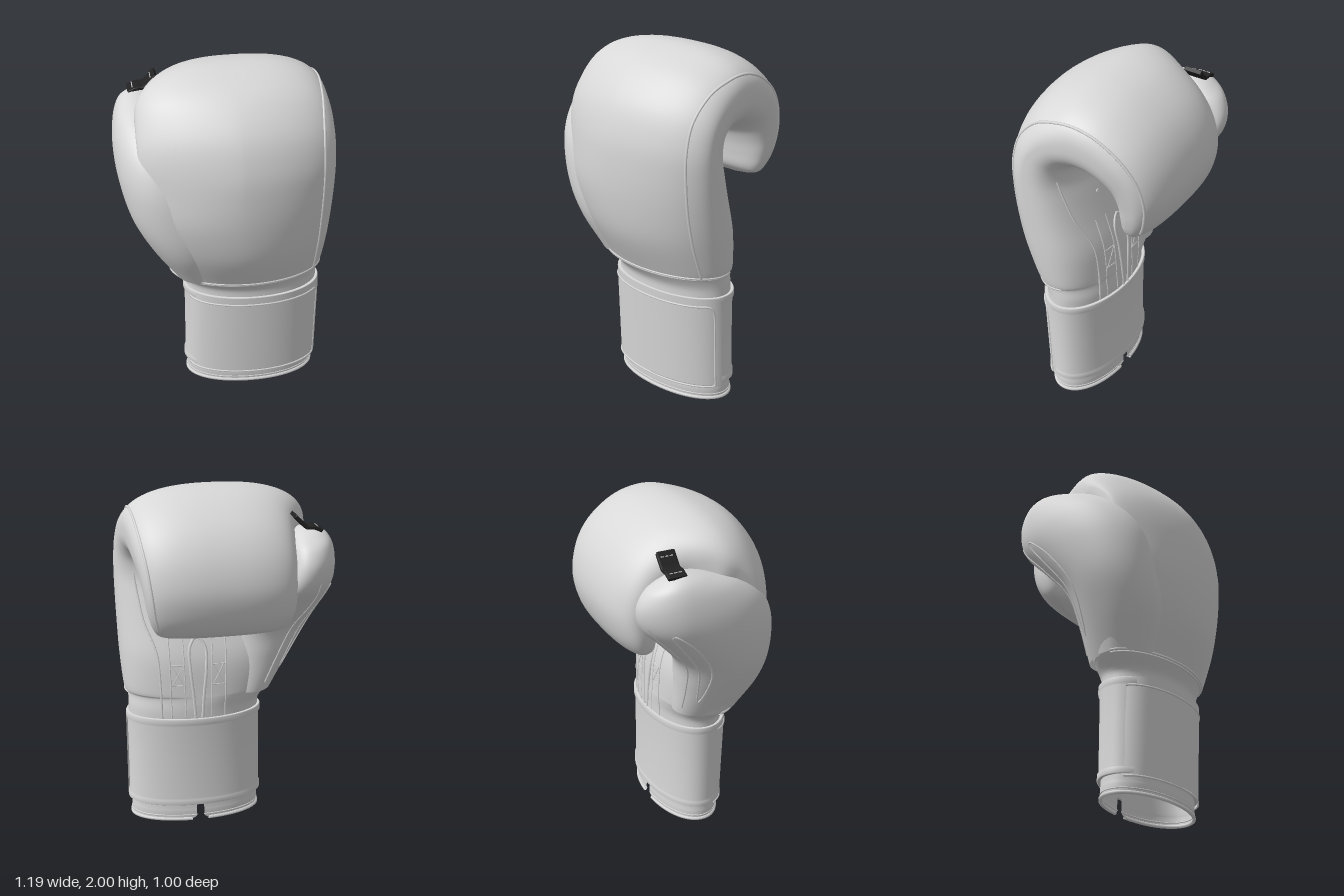
import * as THREE from 'three';

const V = (x, y, z) => new THREE.Vector3(x, y, z);
const spow = (v, e) => Math.sign(v) * Math.pow(Math.abs(v), e);
const step = THREE.MathUtils.smoothstep;

// Surface through stations [outerZ, outerY, innerZ, innerY, xMin, xMax]; each ring is a superellipse
// whose roundness may depend on the position along the part and the angle around it.
function makeSection(stations, roundness) {
  const curve = (a, b) => new THREE.CatmullRomCurve3(stations.map(s => V(s[a], s[b], 0)), false, 'catmullrom', 0.5);
  const outer = curve(0, 1), inner = curve(2, 3), width = curve(4, 5);
  const section = (v, a) => {
    const o = outer.getPoint(v), i = inner.getPoint(v), w = width.getPoint(v), e = roundness(v, a);
    const k = 0.5 + 0.5 * spow(Math.sin(a), e);
    const x = (w.x + w.y) / 2 + (w.y - w.x) / 2 * spow(Math.cos(a), e);
    return V(x, i.y + (o.y - i.y) * k, i.x + (o.x - i.x) * k);
  };
  section.inner = inner;
  section.width = width;
  section.roundness = roundness;
  return section;
}

// Grid surface; closed wraps the ring so the shading has no seam.
function surface(fn, nv, nu, closed = true) {
  const pos = [], index = [], cols = closed ? nu : nu + 1;
  for (let v = 0; v <= nv; v++)
    for (let u = 0; u < cols; u++) pos.push(...fn(v / nv, u / nu).toArray());
  for (let v = 0; v < nv; v++)
    for (let u = 0; u < nu; u++) {
      const u2 = (u + 1) % cols;
      const i = v * cols + u, j = i + cols, k = v * cols + u2, l = k + cols;
      index.push(i, j, k, k, j, l);
    }
  const g = new THREE.BufferGeometry();
  g.setAttribute('position', new THREE.Float32BufferAttribute(pos, 3));
  g.setIndex(index);
  g.computeVertexNormals();
  return g;
}

export function createModel() {
  const glove = new THREE.Group();
  const leather = new THREE.MeshStandardMaterial({ color: 0xd8d8d8, side: THREE.DoubleSide });
  leather.name = 'light grey leather';
  const black = new THREE.MeshStandardMaterial({ color: 0x222222 });
  black.name = 'black webbing';
  const add = (name, geometry, material = leather) => {
    const m = new THREE.Mesh(geometry, material);
    m.name = name;
    glove.add(m);
    return m;
  };
  const piping = (name, pts, r = 0.006) =>
    add(name, new THREE.TubeGeometry(new THREE.CatmullRomCurve3(pts), pts.length * 4, r, 6));
  const sample = (n, fn) => Array.from({ length: n + 1 }, (_, i) => fn(i / n));

  // Padded hand: wrist, back of hand, knuckles and curled fingers
  const hand = makeSection([
    [0.30, 0.64, -0.12, 0.64, -0.22, 0.55],
    [0.305, 0.71, -0.12, 0.71, -0.23, 0.55],
    [0.345, 0.775, -0.118, 0.775, -0.30, 0.55],
    [0.365, 0.81, -0.115, 0.81, -0.32, 0.57],
    [0.45, 1.0, -0.10, 1.0, -0.40, 0.585],
    [0.49, 1.2, -0.05, 1.17, -0.45, 0.59],
    [0.50, 1.4, 0.0, 1.33, -0.465, 0.593],
    [0.485, 1.58, 0.035, 1.44, -0.475, 0.593],
    [0.42, 1.76, 0.035, 1.515, -0.48, 0.59],
    [0.28, 1.91, 0.01, 1.545, -0.48, 0.585],
    [0.12, 1.98, -0.02, 1.55, -0.475, 0.578],
    [-0.03, 2.0, -0.055, 1.55, -0.43, 0.57],
    [-0.20, 1.955, -0.09, 1.545, -0.37, 0.56],
    [-0.36, 1.84, -0.14, 1.525, -0.343, 0.545],
    [-0.46, 1.69, -0.18, 1.49, -0.335, 0.525],
    [-0.50, 1.52, -0.20, 1.43, -0.33, 0.505],
    [-0.475, 1.37, -0.21, 1.36, -0.325, 0.485],
    [-0.42, 1.27, -0.22, 1.29, -0.30, 0.455],
    [-0.36, 1.23, -0.25, 1.25, -0.25, 0.41],
    [-0.30, 1.22, -0.30, 1.22, -0.12, 0.28],
  ], (v, a) => {
    const s = v * 19;
    if (Math.sin(a) <= 0) return 1 - 0.27 * step(s, 1, 5);
    const thumbSide = Math.cos(a) < 0 ? 0.22 * step(s, 5, 7) * (1 - step(s, 8, 10.5)) : 0;
    return 1 + 0.07 * step(s, 2, 4) - 0.27 * step(s, 7.5, 11) + thumbSide;
  });
  const TAU = Math.PI * 2;
  add('paddedHand', surface((v, u) => hand(v, u * TAU), 95, 96));

  // Thumb, flowing out of the back of the hand and leaning towards the fingers
  const thumbSection = makeSection([
    [0.30, 0.78, -0.09, 0.78, -0.295, 0.0],
    [0.39, 1.0, -0.105, 1.0, -0.43, 0.0],
    [0.41, 1.2, -0.14, 1.17, -0.525, -0.02],
    [0.38, 1.42, -0.27, 1.33, -0.58, -0.12],
    [0.29, 1.58, -0.39, 1.46, -0.597, -0.22],
    [0.14, 1.69, -0.42, 1.58, -0.585, -0.29],
    [-0.03, 1.75, -0.38, 1.68, -0.555, -0.33],
    [-0.15, 1.775, -0.30, 1.74, -0.51, -0.38],
    [-0.22, 1.777, -0.24, 1.77, -0.45, -0.45],
  ], () => 0.95);
  const thumb = (v, a) => {
    const p = thumbSection(v, a);
    p.x += 0.9 * Math.max(0, -0.2 - p.z) ** 2; // the tip turns in towards the fingers
    return p;
  };
  add('thumb', surface((v, u) => thumb(v, u * TAU), 56, 56));

  // Welted seams on the hand and thumb
  piping('sideSeam', sample(60, t => {
    const v = (2.7 + t * 14) / 19;
    return hand(v, Math.asin(Math.pow(0.5, 1 / hand.roundness(v, 0.5))));
  }), 0.008);
  for (const v of [2.05, 2.7])
    piping('wristSeam', sample(40, t => hand(v / 19, -0.2 + t * 3.3)), 0.007);
  piping('thumbSeam', sample(20, t => thumb(0.03 + t * 0.5, -1.95)), 0.005);
  piping('thumbPatchSeam', sample(28, t =>
    thumb(0.28 + 0.21 * Math.cos(t * TAU), -2.4 + 0.15 * Math.sin(t * TAU))), 0.005);

  // Point on the palm at a given x and height
  const palm = (x, y) => {
    let lo = 0, hi = 8 / 19;
    for (let i = 0; i < 24; i++) {
      const mid = (lo + hi) / 2;
      if (hand.inner.getPoint(mid).y < y) lo = mid; else hi = mid;
    }
    const w = hand.width.getPoint(lo);
    const c = spow((x - (w.x + w.y) / 2) / ((w.y - w.x) / 2), 1 / hand.roundness(lo, -1));
    return hand(lo, -Math.acos(THREE.MathUtils.clamp(c, -1, 1)));
  };

  // Palm opening, reinforcing straps with crossed stitching, panel seam and vents
  const lace = 0.17;
  piping('palmOpening', [[-0.02, 0.66], [-0.03, 0.8], [-0.045, 0.95], [-0.045, 1.08], [0, 1.14],
    [0.045, 1.08], [0.045, 0.95], [0.03, 0.8], [0.02, 0.66]].map(([x, y]) => palm(lace + x, y)), 0.009);
  for (const side of [-1, 1]) {
    const at = (x, y) => palm(lace + side * x, y);
    for (const x of [0.075, 0.155])
      piping('palmStrapEdge', sample(10, t => at(x + t * 0.01, 0.66 + t * 0.52)), 0.004);
    for (const [a, b] of [[0.085, 0.15], [0.15, 0.085]])
      piping('crossStitch', sample(4, t => at(a + (b - a) * t, 0.86 + t * 0.12)), 0.003);
    for (const y of [0.86, 0.98])
      piping('boxStitch', sample(3, t => at(0.08 + t * 0.075, y)), 0.003);
  }
  piping('palmPanelSeam', [[0.38, 0.66], [0.385, 0.85], [0.4, 1.05], [0.46, 1.22], [0.485, 1.36], [0.5, 1.46]]
    .map(([x, y]) => palm(x, y)), 0.006);
  for (const x of [0.08, 0.17, 0.26]) {
    const vent = add('palmVent', new THREE.TorusGeometry(0.009, 0.004, 6, 12));
    vent.position.copy(palm(x, 1.32));
  }

  // Wrist cuff: an open oval tube with a slit at the back
  const ring = (y, off) => [0.262 + 0.05 * y + off, y, -0.115 - off, y, -0.215 - off, 0.545 + off];
  const round = () => 0.96;
  const cuff = makeSection([ring(0.012, 0), ring(0.06, 0.002), ring(0.12, 0), ring(0.4, 0), ring(0.68, 0)], round);
  const slit = v => 0.05 + 0.07 * Math.pow(Math.max(0, 1 - v * 8), 2);
  const around = (v, u) => -Math.PI / 2 + slit(v) + u * (TAU - 2 * slit(v));
  add('cuff', surface((v, u) => cuff(v, around(v, u)), 32, 96, false));
  piping('cuffRim', sample(60, t => cuff(0, around(0, t))), 0.011);
  piping('cuffHemStitch', sample(60, t => cuff(0.13, around(0.13, t))), 0.004);

  // Closure strap with raised edge bindings
  const strap = makeSection([
    ring(0.112, 0), ring(0.11, 0.016), ring(0.114, 0.021), ring(0.145, 0.021), ring(0.152, 0.013),
    ring(0.4, 0.012), ring(0.615, 0.013), ring(0.622, 0.021), ring(0.656, 0.021), ring(0.66, 0.016), ring(0.658, 0),
  ], round);
  add('wristStrap', surface((v, u) => strap(v, u * TAU), 10, 96));

  // Overlapping flap, wrapping the front and ending with rounded corners on one side
  const flapLayer = makeSection([ring(0.11, 0.024), ring(0.66, 0.024)], round);
  const flapStart = 0.17;
  const flapPoint = (y, a) => {
    const fade = step(a, 2.4, 3.1) * 0.02;
    return flapLayer((y - 0.11) / 0.55, a).add(V(-Math.cos(a) * fade, 0, -Math.sin(a) * fade));
  };
  add('strapFlap', surface((v, u) => {
    const a = flapStart + u * u * 2.93;
    const d = Math.max(0, 1 - (a - flapStart) / 0.24);
    const inset = 0.055 * (1 - Math.sqrt(1 - d * d));
    return flapPoint(0.11 + inset + v * (0.55 - 2 * inset), a);
  }, 8, 90, false));
  const lower = sample(24, t => flapPoint(0.155, 2.8 - t * 2.28));
  const upper = sample(24, t => flapPoint(0.615, 0.52 + t * 2.28));
  const end = [[0.163, 0.42], [0.195, 0.36], [0.3, 0.35], [0.46, 0.35], [0.575, 0.36], [0.607, 0.42]]
    .map(([y, a]) => flapPoint(y, a));
  piping('flapStitch', [...lower, ...end, ...upper], 0.006);

  // Short webbing strap joining thumb and fingers
  const path = new THREE.CatmullRomCurve3([V(-0.335, 1.85, 0), V(-0.368, 1.815, 0), V(-0.4, 1.785, 0),
    V(-0.44, 1.782, 0), V(-0.483, 1.765, 0)]).getPoints(20);
  const outline = [...path, ...path.slice().reverse().map(p => V(p.x - 0.007, p.y + 0.011, 0))];
  const webbing = new THREE.ExtrudeGeometry(new THREE.Shape(outline.map(p => new THREE.Vector2(p.x, p.y))),
    { depth: 0.09, bevelEnabled: true, bevelSize: 0.004, bevelThickness: 0.008, bevelSegments: 2 });
  webbing.translate(0, 0, -0.277);
  add('thumbStrap', webbing, black);
  for (const i of [3, 17])
    for (let k = 0; k < 3; k++) {
      const stitch = add('thumbStrapStitch', new THREE.BoxGeometry(0.005, 0.006, 0.018));
      stitch.position.set(path[i].x - 0.009, path[i].y + 0.014, -0.26 + k * 0.026);
    }
  return glove;
}
